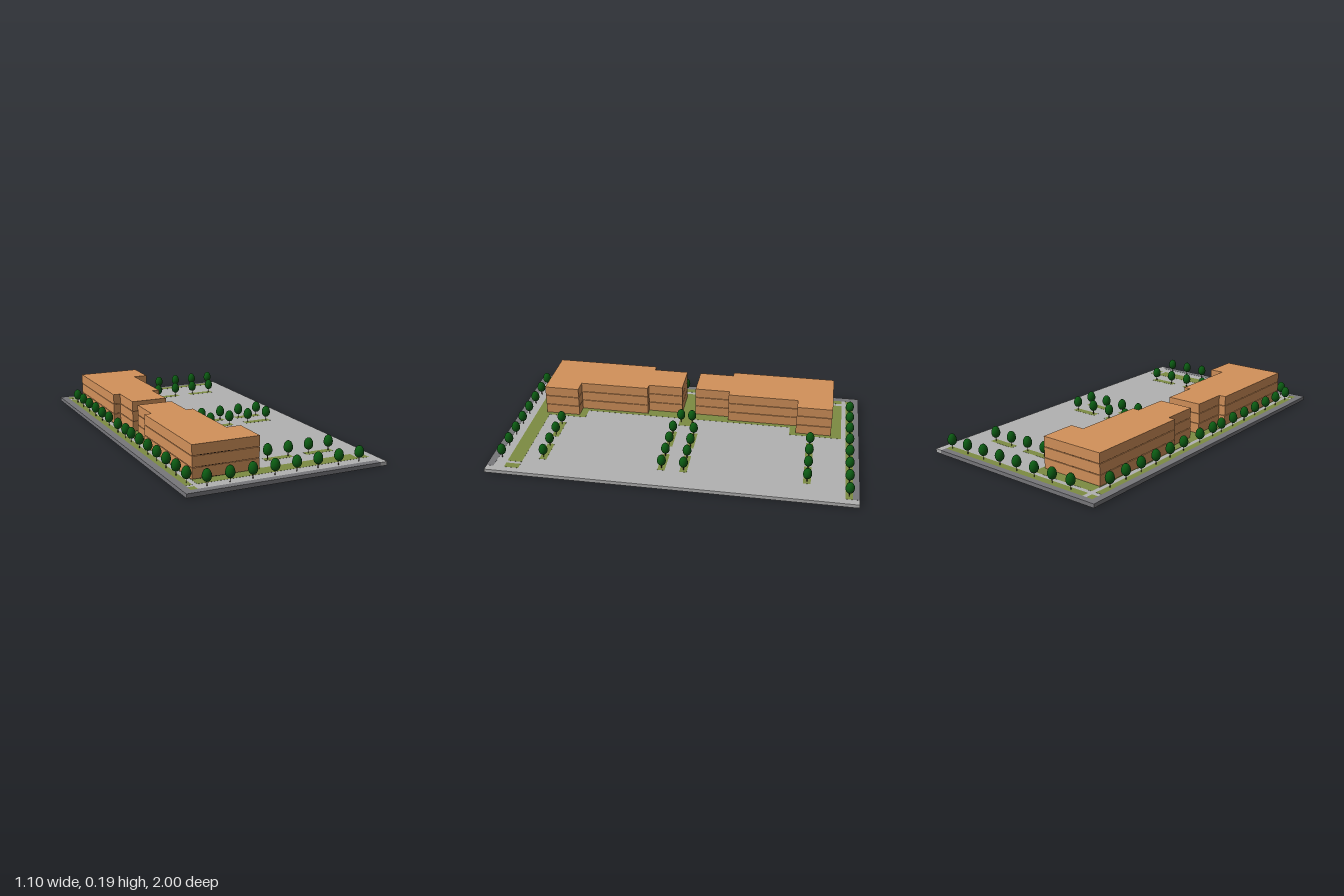
import * as THREE from 'three';

const mat = (color) => new THREE.MeshStandardMaterial({ color });
const paving = mat(0xb2b2b2), road = mat(0x77777b), grass = mat(0x7d8c42);
const brick = mat(0xd2915a), joint = mat(0x2a1c12), leaf = mat(0x0b5a12), bark = mat(0x3a2a1c);

const TOP = 0.021; // ground level

function add(group, name, geometry, material) {
  const mesh = new THREE.Mesh(geometry, material);
  mesh.name = name;
  group.add(mesh);
  return mesh;
}

// Box given by its extents
function block(group, name, material, x0, x1, z0, z1, y0 = 0, y1 = TOP) {
  const mesh = add(group, name, new THREE.BoxGeometry(x1 - x0, y1 - y0, z1 - z0), material);
  mesh.position.set((x0 + x1) / 2, (y0 + y1) / 2, (z0 + z1) / 2);
}

// Flat plan of [x, z] points raised from y0 to y1
function raisedPlan(points, y0, y1) {
  const shape = new THREE.Shape(points.map(([x, z]) => new THREE.Vector2(x, -z)));
  const geometry = new THREE.ExtrudeGeometry(shape, { depth: y1 - y0, bevelEnabled: false });
  return geometry.rotateX(-Math.PI / 2).translate(0, y0, 0);
}

function createGround() {
  const ground = new THREE.Group();
  ground.name = 'ground';
  block(ground, 'pavingSlab', paving, -0.549, 0.55, -0.999, 0.999, 0.0006, 0.0204);

  // Road around three sides
  add(ground, 'road', raisedPlan([
    [-0.55, -1], [0.51, -1], [0.51, -0.965], [-0.51, -0.965],
    [-0.51, 0.96], [0.51, 0.96], [0.51, 1], [-0.55, 1],
  ], 0, TOP), road);

  // Lawn around the buildings
  add(ground, 'mainLawn', raisedPlan([
    [-0.45, -0.9], [-0.07, -0.9], [-0.07, -0.605], [-0.15, -0.605], [-0.15, -0.04],
    [-0.07, -0.04], [-0.07, 0.04], [-0.15, 0.04], [-0.15, 0.6], [-0.07, 0.6],
    [-0.07, 0.82], [0.45, 0.82], [0.45, 0.9], [-0.45, 0.9],
  ], 0, TOP), grass);

  // Verges beside the footpaths
  block(ground, 'sideVerge', grass, -0.51, -0.475, -0.9, 0.9);
  block(ground, 'backCornerVerge', grass, -0.51, -0.475, -0.965, -0.925);
  block(ground, 'frontCornerVerge', grass, -0.51, -0.475, 0.92, 0.96);
  block(ground, 'backVerge', grass, -0.45, 0.51, -0.965, -0.925);
  block(ground, 'frontVergeEnd', grass, 0.47, 0.51, 0.82, 0.9);
  return ground;
}

// Three-storey wing; side is +1 for the front one and -1 for the back one
function createBuilding(side) {
  const building = new THREE.Group();
  building.name = side > 0 ? 'frontBuilding' : 'backBuilding';
  const plan = [
    [-0.41, 0.04], [-0.21, 0.04], [-0.21, 0.24], [-0.17, 0.24], [-0.17, 0.64],
    [-0.09, 0.64], [-0.09, 0.84], [-0.45, 0.84], [-0.45, 0.24], [-0.41, 0.24],
  ].map(([x, z]) => [x, z * side]);
  for (let i = 0; i < 3; i++) {
    const y = 0.024 + i * 0.0575;
    add(building, 'storey', raisedPlan(plan, y, y + 0.0545), brick);
  }
  // Dark core showing in the joints between storeys
  const z = [0.045 * side, 0.835 * side].sort((a, b) => a - b);
  block(building, 'core', joint, -0.405, -0.215, z[0], z[1], 0.02, 0.19);
  return building;
}

const crownProfile = [
  [0, 0.042], [0.012, 0.044], [0.019, 0.051], [0.0235, 0.062], [0.024, 0.073],
  [0.0215, 0.085], [0.016, 0.096], [0.008, 0.103], [0, 0.105],
].map(([r, y]) => new THREE.Vector2(r, y));
const crownGeometry = new THREE.LatheGeometry(crownProfile, 16);
const trunkGeometry = new THREE.CylinderGeometry(0.0018, 0.0022, 0.03, 8).translate(0, 0.034, 0);

function createTree(x, z) {
  const tree = new THREE.Group();
  tree.name = 'tree';
  add(tree, 'trunk', trunkGeometry, bark);
  add(tree, 'crown', crownGeometry, leaf);
  tree.position.set(x, 0, z);
  return tree;
}

export function createModel() {
  const model = new THREE.Group();
  model.name = 'campus';
  const ground = createGround();
  model.add(ground, createBuilding(1), createBuilding(-1));

  // Rows along the back and front edges
  for (let i = 0; i < 8; i++) {
    model.add(createTree(-0.36 + i * 0.12, -0.945), createTree(-0.42 + i * 0.12, 0.94));
  }
  // Row along the side verge
  for (let i = 0; i < 6; i++) model.add(createTree(-0.49, -0.815 + i * 0.12));
  for (let i = 0; i < 7; i++) model.add(createTree(-0.49, 0.145 + i * 0.12));
  for (const z of [-0.065, 0.06]) model.add(createTree(-0.49, z));
  // Pair at the entrance lawn
  for (const z of [-0.035, 0.03]) model.add(createTree(-0.11, z));

  // Car park islands, each with two trees
  for (const z of [-0.725, -0.065, 0.055, 0.715]) {
    for (const x of [0.085, 0.325]) {
      block(ground, 'island', grass, x - 0.08, x + 0.08, z - 0.02, z + 0.02);
      model.add(createTree(x - 0.06, z), createTree(x + 0.06, z));
    }
  }
  return model;
}
